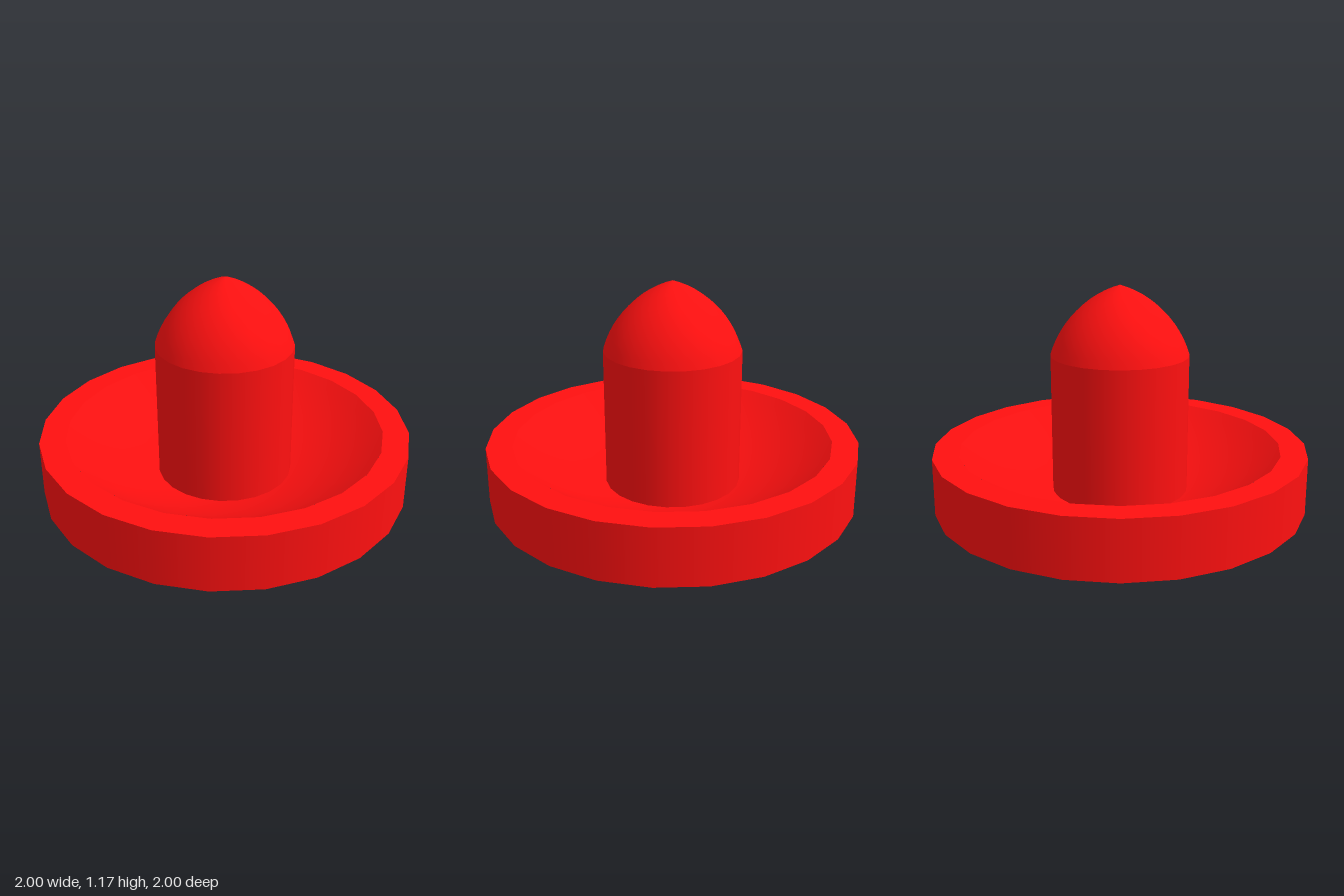
import * as THREE from 'three';

const SIDES = 24;
const material = new THREE.MeshStandardMaterial({ color: 0xff1010 });

// Points on a circular arc, angles in degrees
function arc(cx, cy, r, from, to, steps) {
  return Array.from({ length: steps + 1 }, (_, i) => {
    const a = THREE.MathUtils.degToRad(from + ((to - from) * i) / steps);
    return [Math.max(0, cx + r * Math.cos(a)), cy + r * Math.sin(a)];
  });
}

// One smooth turned surface; separate surfaces keep the edges between them sharp
function turned(name, profile) {
  const points = profile.map(([r, y]) => new THREE.Vector2(r, y));
  const mesh = new THREE.Mesh(new THREE.LatheGeometry(points, SIDES), material);
  mesh.name = name;
  return mesh;
}

export function createModel() {
  const model = new THREE.Group();
  model.name = 'strikerMallet';

  // Dish: flat underside, straight wall, flat rim and hollow bowl
  const dish = new THREE.Group();
  dish.name = 'dish';
  const bowlR = 1.42, bowlY = 0.015 + bowlR;
  const rimAngle = THREE.MathUtils.radToDeg(Math.asin(0.86 / bowlR));
  dish.add(
    turned('underside', [[0, 0], [1, 0]]),
    turned('outerWall', [[1, 0], [1, 0.305]]),
    turned('rim', [[1, 0.305], [0.86, 0.305]]),
    turned('bowl', arc(0, bowlY, bowlR, -90 + rimAngle, -90, 14))
  );

  // Handle: round post with a slightly pointed dome
  const handle = new THREE.Group();
  handle.name = 'handle';
  handle.add(
    turned('post', [[0.367, 0.03], [0.367, 0.803]]),
    turned('dome', arc(-0.162, 0.641, 0.553, 17, 73, 12))
  );

  model.add(dish, handle);
  return model;
}
